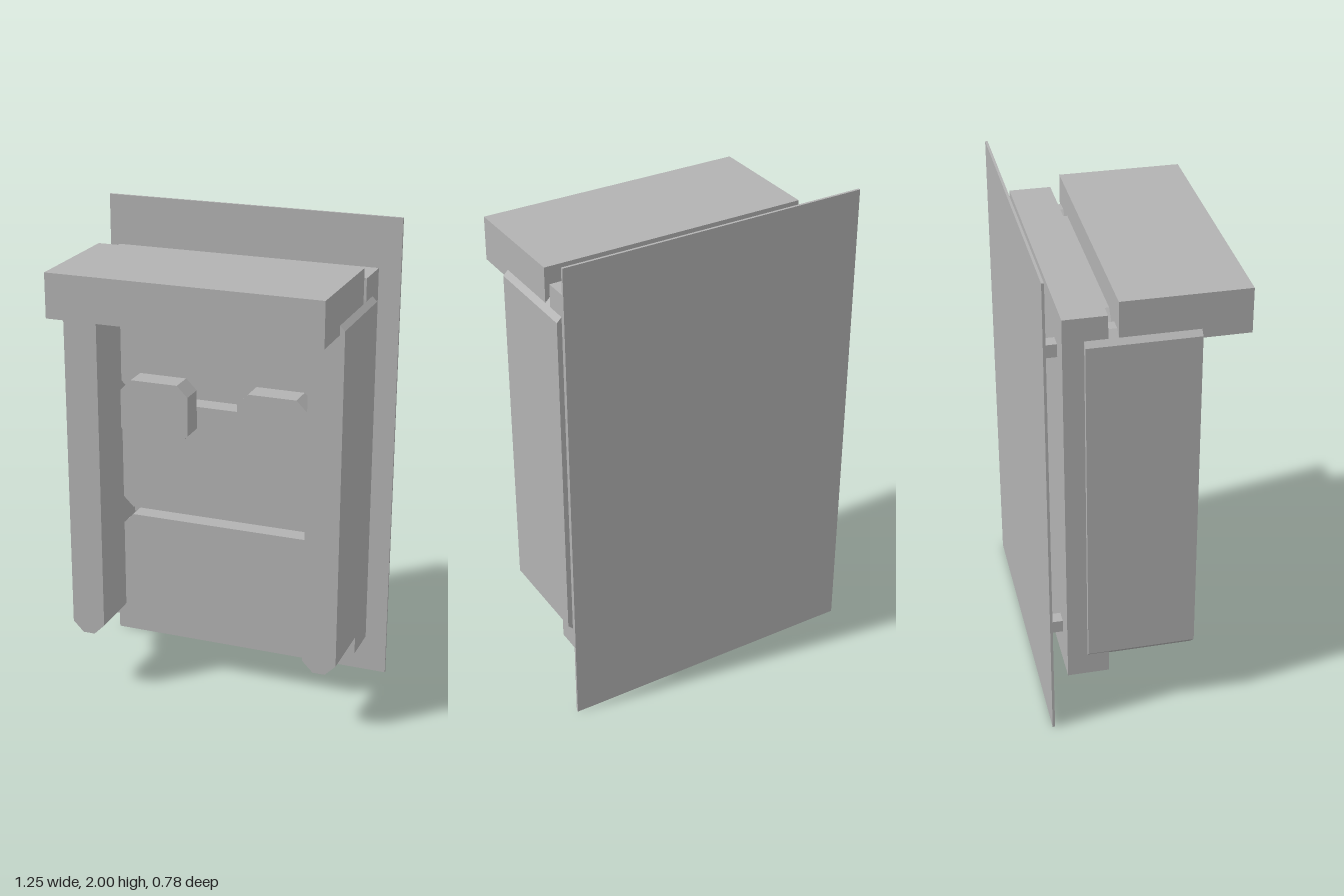
import * as THREE from 'three';

export function createModel() {
  const group = new THREE.Group();
  const grey = new THREE.MeshStandardMaterial({ color: 0xb2b2b2 });
  grey.name = 'light grey';

  function add(name, geometry) {
    const mesh = new THREE.Mesh(geometry, grey);
    mesh.name = name;
    group.add(mesh);
  }

  // Plain box given by its limits
  function box(name, x0, x1, y0, y1, z0, z1) {
    const g = new THREE.BoxGeometry(x1 - x0, y1 - y0, z1 - z0);
    g.translate((x0 + x1) / 2, (y0 + y1) / 2, (z0 + z1) / 2);
    add(name, g);
  }

  // Block whose front outline has cut corners
  function cutBlock(name, x0, x1, y0, y1, z0, z1, c = 0.045) {
    const s = new THREE.Shape([
      [x0 + c, y0], [x1 - c, y0], [x1, y0 + c], [x1, y1 - c],
      [x1 - c, y1], [x0 + c, y1], [x0, y1 - c], [x0, y0 + c],
    ].map(([x, y]) => new THREE.Vector2(x, y)));
    const g = new THREE.ExtrudeGeometry(s, { depth: z1 - z0, bevelEnabled: false });
    g.translate(0, 0, z0);
    add(name, g);
  }

  // Wall plate, cabinet body and overhanging hood
  box('backPlate', -0.627, 0.627, 0, 2, -0.39, -0.38);
  box('body', -0.555, 0.555, 0.195, 1.81, -0.31, -0.143);
  box('hood', -0.555, 0.555, 1.68, 1.86, -0.105, 0.388);

  // Three stacked front panels with narrow gaps
  for (const [y0, y1] of [[0.253, 0.73], [0.765, 1.243], [1.275, 1.753]]) {
    cutBlock('frontPanel', -0.438, 0.438, y0, y1, -0.143, -0.03);
  }

  for (const side of [-1, 1]) {
    const pair = (a, b) => (side > 0 ? [a, b] : [-b, -a]);
    // Side rails, raised pads and wall spacers
    cutBlock('sideRail', ...pair(0.435, 0.575), 0.263, 1.742, -0.23, 0.2);
    cutBlock('pad', ...pair(0.105, 0.395), 1.105, 1.358, -0.03, 0.07);
    for (const y of [0.345, 1.61]) {
      box('wallSpacer', ...pair(0.407, 0.46), y, y + 0.053, -0.38, -0.31);
    }
  }
  return group;
}
